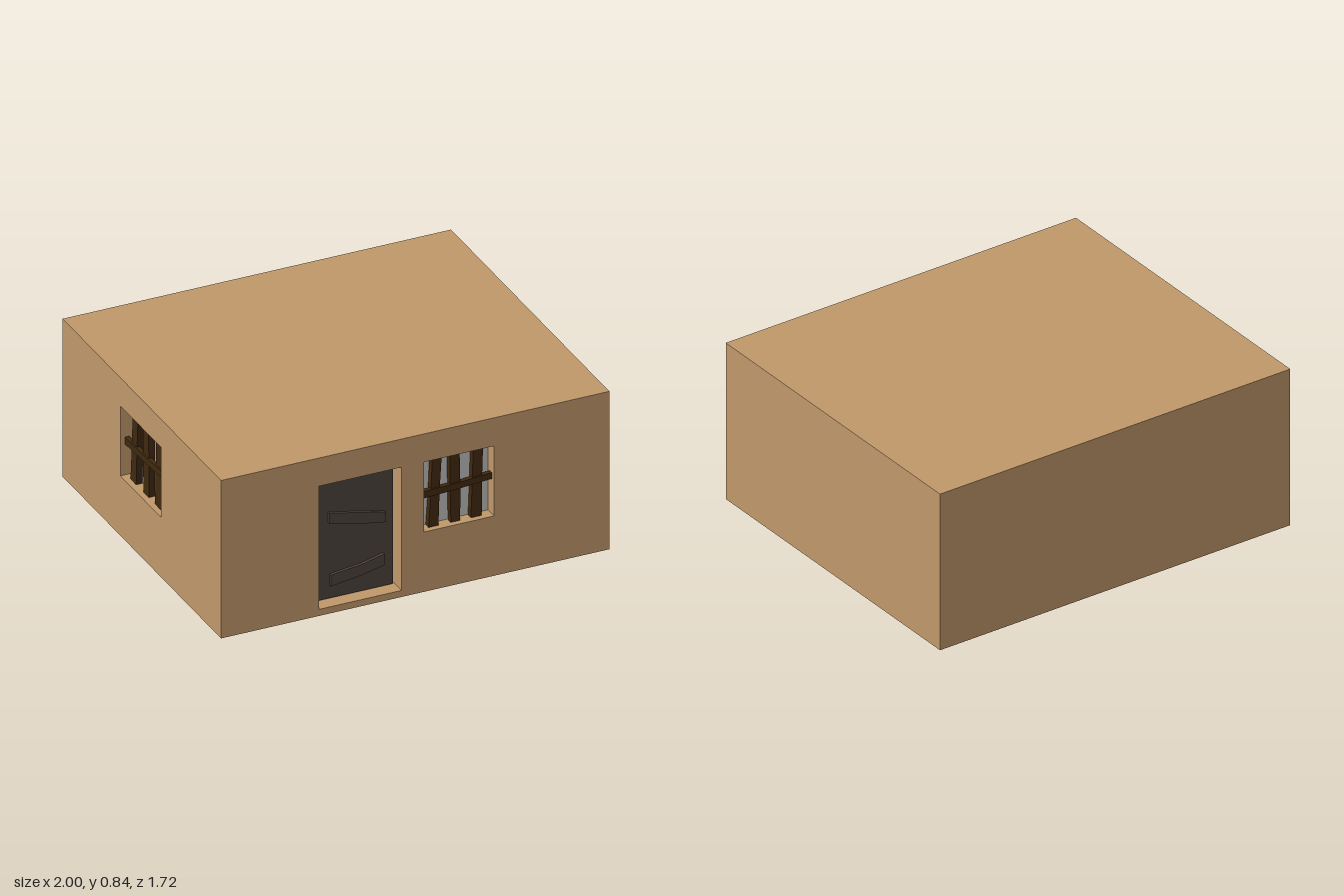
import * as THREE from 'three';

const W = 1, D = 0.86, H = 0.84; // half width, half depth, height
const T = 0.1;                   // depth of the wall openings

const mat = (name, color) => new THREE.MeshStandardMaterial({ name, color });

function outline(points) {
  return new THREE.Shape(points.map(([x, y]) => new THREE.Vector2(x, y)));
}
const rect = (x0, x1, y0, y1) => [[x0, y0], [x1, y0], [x1, y1], [x0, y1]];

export function createModel() {
  const clay = mat('clay', 0xc0986a);
  const doorWood = mat('doorWood', 0x4b423b);
  const darkWood = mat('darkWood', 0x2c2724);
  const barWood = mat('barWood', 0x402910);
  const pane = mat('pane', 0xbcbcbc);
  const house = new THREE.Group();
  house.name = 'house';

  // Extrudes an outline from z0 to z1
  function slab(parent, name, points, z0, z1, material, holes = []) {
    const shape = outline(points);
    shape.holes = holes.map(outline);
    const geo = new THREE.ExtrudeGeometry(shape, { depth: z1 - z0, bevelEnabled: false });
    geo.translate(0, 0, z0);
    const mesh = new THREE.Mesh(geo, material);
    mesh.name = name;
    parent.add(mesh);
    return mesh;
  }

  // Solid core behind the two pierced walls
  slab(house, 'core', rect(-W + T, W, 0, H), -D, D - T, clay);

  // Front wall with door and window openings
  const doorHole = rect(-0.495, -0.07, 0.035, 0.69);
  slab(house, 'frontWall', rect(-W, W, 0, H), D - T, D, clay,
    [doorHole, rect(0.045, 0.407, 0.318, 0.69)]);

  // Right wall with a wider window, turned to face -x
  const sideWall = new THREE.Group();
  sideWall.name = 'rightWall';
  sideWall.rotation.y = -Math.PI / 2;
  house.add(sideWall);
  slab(sideWall, 'rightWallPanel', rect(-D, D - T, 0, H), W - T, W, clay,
    [rect(-0.233, 0.209, 0.318, 0.69)]);

  // Window: pane, three crooked bars and a crosspiece, centred on x = 0
  function addWindow(parent, x, z, stretch) {
    const win = new THREE.Group();
    win.name = 'window';
    win.position.set(x, 0, z);
    win.scale.x = stretch;
    parent.add(win);
    slab(win, 'pane', rect(-0.181, 0.181, 0.318, 0.69), -0.074, -0.066, pane);
    const bars = [
      [[-0.143, 0.318], [-0.092, 0.318], [-0.086, 0.5], [-0.075, 0.69], [-0.123, 0.69], [-0.131, 0.5]],
      [[-0.028, 0.318], [0.02, 0.318], [0.021, 0.5], [0.017, 0.69], [-0.033, 0.69], [-0.031, 0.5]],
      [[0.075, 0.318], [0.131, 0.318], [0.132, 0.5], [0.138, 0.69], [0.087, 0.69], [0.082, 0.5]],
    ];
    bars.forEach((b) => slab(win, 'bar', b, -0.062, -0.03, barWood));
    slab(win, 'crossbar',
      [[-0.18, 0.483], [0, 0.492], [0.18, 0.505], [0.18, 0.538], [0, 0.525], [-0.18, 0.52]],
      -0.045, -0.022, barWood);
  }
  addWindow(house, 0.226, D, 1);
  addWindow(sideWall, -0.012, W, 1.22);

  // Door with a dark gap above and two nailed boards
  slab(house, 'door', rect(-0.495, -0.085, 0.045, 0.675), D - T, D - 0.06, doorWood);
  slab(house, 'doorTopGap', rect(-0.495, -0.085, 0.675, 0.69), D - T, D - 0.065, darkWood);
  const boards = [
    [[-0.42, 0.45], [-0.25, 0.41], [-0.13, 0.39], [-0.13, 0.443], [-0.27, 0.475], [-0.42, 0.505]],
    [[-0.413, 0.115], [-0.25, 0.137], [-0.137, 0.163], [-0.137, 0.223], [-0.25, 0.195], [-0.413, 0.175]],
  ];
  boards.forEach((b) => slab(house, 'doorBoard', b, D - 0.06, D - 0.045, doorWood));

  return house;
}
